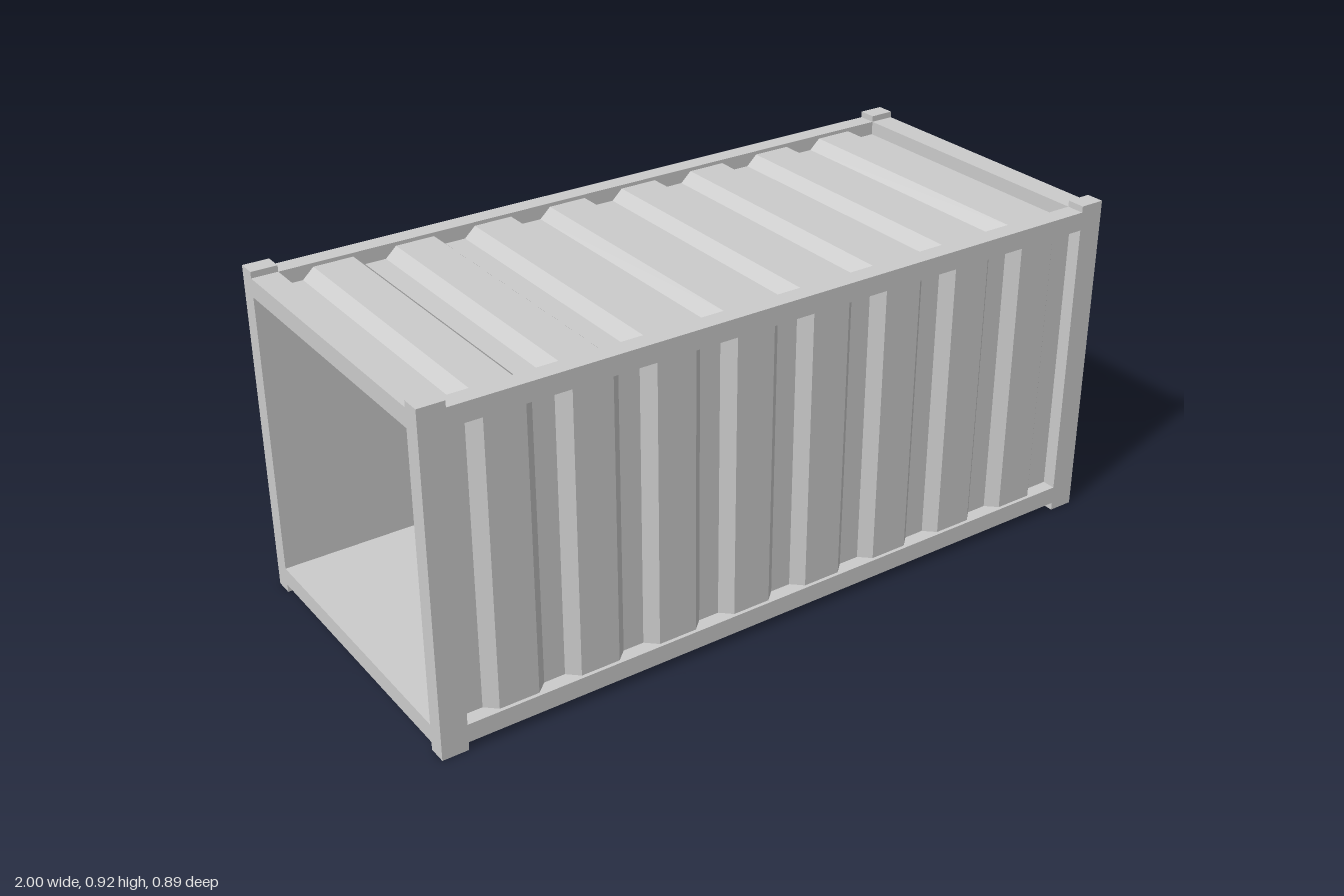
import * as THREE from 'three';

const material = new THREE.MeshStandardMaterial({ color: 0xcccccc });

// Overall dimensions
const HALF_X = 1, HALF_Z = 0.447, POST_TOP = 0.915;
const POST_X = 0.07, BAR = 0.05;
const RAIL_LOW = 0.022, RAIL_HIGH = 0.898;
const INNER_X = HALF_X - POST_X, INNER_Z = HALF_Z - BAR;
const INNER_LOW = RAIL_LOW + BAR, INNER_HIGH = RAIL_HIGH - BAR;

// Corrugation: flat on the inside, trapezoid ridges on the outside
const RIDGES = 8, PITCH = 0.2245, RIDGE_TOP = 0.107, SLOPE = 0.03;
const GROOVE_DEPTH = 0.012, RIDGE_DEPTH = 0.04;

function box(name, w, h, d, x, y, z) {
  const mesh = new THREE.Mesh(new THREE.BoxGeometry(w, h, d), material);
  mesh.name = name;
  mesh.position.set(x, y, z);
  return mesh;
}

// Panel with its ridges facing +y, extruded along z, turned about x into place
function corrugatedPanel(name, span, y, z, turn) {
  const shape = new THREE.Shape();
  shape.moveTo(-INNER_X, 0);
  shape.lineTo(INNER_X, 0);
  shape.lineTo(INNER_X, GROOVE_DEPTH);
  for (let i = RIDGES - 1; i >= 0; i--) {
    const c = (i - (RIDGES - 1) / 2) * PITCH;
    const top = RIDGE_TOP / 2, foot = top + SLOPE;
    shape.lineTo(c + foot, GROOVE_DEPTH);
    shape.lineTo(c + top, RIDGE_DEPTH);
    shape.lineTo(c - top, RIDGE_DEPTH);
    shape.lineTo(c - foot, GROOVE_DEPTH);
  }
  shape.lineTo(-INNER_X, GROOVE_DEPTH);
  shape.closePath();
  const geometry = new THREE.ExtrudeGeometry(shape, { depth: span, bevelEnabled: false });
  geometry.translate(0, 0, -span / 2);
  const mesh = new THREE.Mesh(geometry, material);
  mesh.name = name;
  mesh.position.set(0, y, z);
  mesh.rotation.x = turn;
  return mesh;
}

export function createModel() {
  const model = new THREE.Group();
  model.name = 'shippingContainer';

  // Corner posts, standing slightly proud of the rails at both ends
  const frame = new THREE.Group();
  frame.name = 'frame';
  for (const sx of [-1, 1]) {
    for (const sz of [-1, 1]) {
      const name = (sz > 0 ? 'front' : 'back') + (sx > 0 ? 'Left' : 'Right') + 'Post';
      frame.add(box(name, POST_X, POST_TOP, BAR,
        sx * (HALF_X - POST_X / 2), POST_TOP / 2, sz * (HALF_Z - BAR / 2)));
    }
  }

  // Long side rails and short end rails, bottom and top
  for (const [level, y] of [['bottom', RAIL_LOW + BAR / 2], ['top', RAIL_HIGH - BAR / 2]]) {
    for (const s of [-1, 1]) {
      frame.add(box(level + (s > 0 ? 'Front' : 'Back') + 'Rail',
        2 * INNER_X, BAR, BAR, 0, y, s * (HALF_Z - BAR / 2)));
      frame.add(box(level + (s > 0 ? 'Left' : 'Right') + 'EndRail',
        POST_X, BAR, 2 * INNER_Z, s * (HALF_X - POST_X / 2), y, 0));
    }
  }
  model.add(frame);

  // Corrugated walls, roof and floor; both ends stay open
  const midY = (INNER_LOW + INNER_HIGH) / 2;
  const height = INNER_HIGH - INNER_LOW;
  model.add(
    corrugatedPanel('roof', 2 * INNER_Z, INNER_HIGH, 0, 0),
    corrugatedPanel('floor', 2 * INNER_Z, INNER_LOW, 0, Math.PI),
    corrugatedPanel('frontWall', height, midY, INNER_Z, Math.PI / 2),
    corrugatedPanel('backWall', height, midY, -INNER_Z, -Math.PI / 2),
  );
  return model;
}
